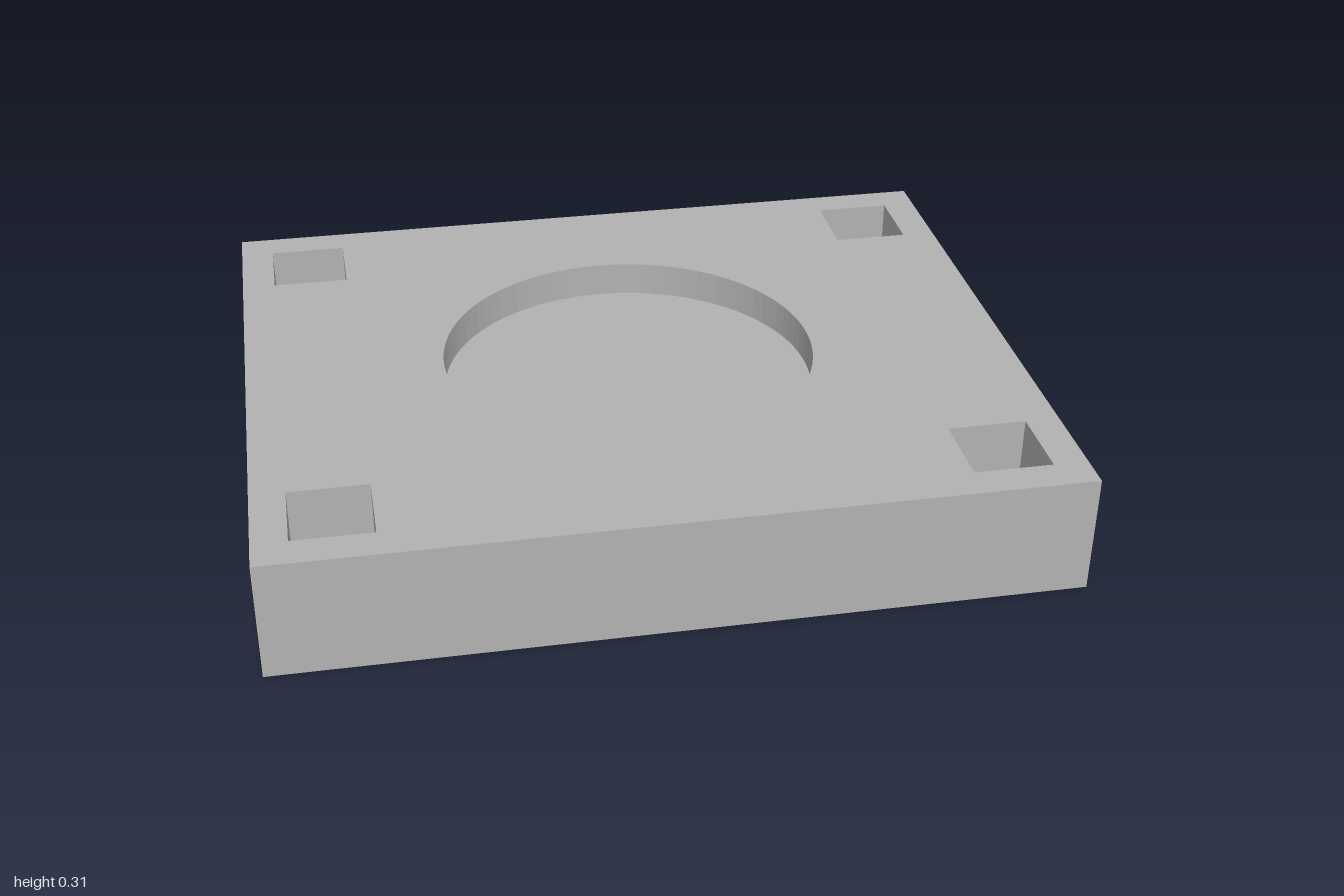
import * as THREE from 'three';

const WIDTH = 2, DEPTH = 1.625, HEIGHT = 0.3125;
const RECESS_RADIUS = 0.487, RECESS_FLOOR = 0.22;
const HOLE = 0.2, HOLE_X = 0.8125, HOLE_Z = 0.625;

// Counter-clockwise outlines in plan
const rectangle = (cx, cy, w, h) =>
  [[-1, -1], [1, -1], [1, 1], [-1, 1]].map(([sx, sy]) => new THREE.Vector2(cx + sx * w / 2, cy + sy * h / 2));

const circle = (radius, sides) => Array.from({ length: sides }, (_, i) => {
  const a = i / sides * Math.PI * 2;
  return new THREE.Vector2(Math.cos(a) * radius, Math.sin(a) * radius);
});

// Upright walls along an outline, facing outward or, for openings, inward
function walls(outline, y0, y1, inward = false) {
  const points = inward ? [...outline].reverse() : outline;
  const positions = [];
  points.forEach((a, i) => {
    const b = points[(i + 1) % points.length];
    positions.push(a.x, y0, -a.y, b.x, y0, -b.y, b.x, y1, -b.y);
    positions.push(a.x, y0, -a.y, b.x, y1, -b.y, a.x, y1, -a.y);
  });
  const geometry = new THREE.BufferGeometry();
  geometry.setAttribute('position', new THREE.Float32BufferAttribute(positions, 3));
  geometry.computeVertexNormals();
  return geometry;
}

// Level face with openings, looking up or down
function level(outline, openings, y, up = true) {
  const shape = new THREE.Shape(outline);
  shape.holes = openings.map((o) => new THREE.Path(o));
  return new THREE.ShapeGeometry(shape).rotateX(up ? -Math.PI / 2 : Math.PI / 2).translate(0, y, 0);
}

export function createModel() {
  const model = new THREE.Group();
  model.name = 'mountingBlock';
  const grey = new THREE.MeshStandardMaterial({ color: 0xb2b2b2 });
  grey.name = 'grey';
  const add = (name, geometry) => {
    const mesh = new THREE.Mesh(geometry, grey);
    mesh.name = name;
    model.add(mesh);
    return mesh;
  };

  const outline = rectangle(0, 0, WIDTH, DEPTH);
  const recess = circle(RECESS_RADIUS, 96);
  const corners = [[-1, -1], [1, -1], [1, 1], [-1, 1]].map(([x, z]) => [x * HOLE_X, z * HOLE_Z]);
  const holes = corners.map(([x, z]) => rectangle(x, z, HOLE, HOLE));

  // Block
  add('blockSides', walls(outline, 0, HEIGHT));
  add('blockTop', level(outline, [recess, ...holes], HEIGHT));
  add('blockBottom', level(outline, holes, 0, false));

  // Shallow round recess
  add('recessWall', walls(recess, RECESS_FLOOR, HEIGHT, true));
  add('recessFloor', level(recess, [], RECESS_FLOOR));

  // Square corner sockets, open above and below with a thin web between
  corners.forEach(([x, z], i) => {
    add('socketWalls', walls(holes[i], 0, HEIGHT, true));
    add('socketWeb', new THREE.BoxGeometry(HOLE, 0.01, HOLE)).position.set(x, HEIGHT / 2, z);
  });

  return model;
}
